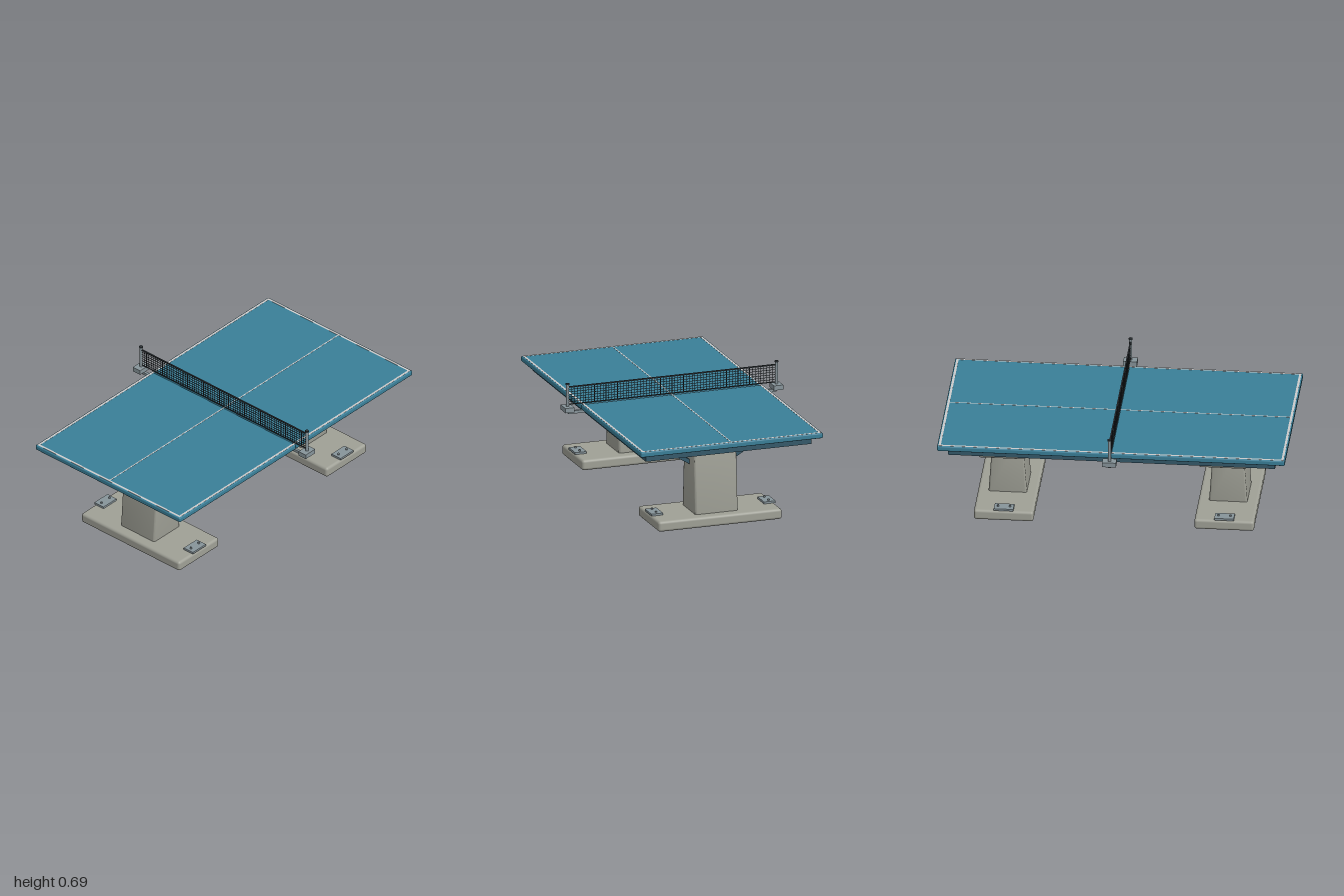
import * as THREE from 'three';
import { RoundedBoxGeometry } from 'three/addons/geometries/RoundedBoxGeometry.js';
import { mergeGeometries, toCreasedNormals } from 'three/addons/utils/BufferGeometryUtils.js';

const paint = (color) => new THREE.MeshStandardMaterial({ color });
const TEAL = paint(0x3a7f98), STEEL_BLUE = paint(0x35596a), DARK = paint(0x24404d);
const STONE = paint(0x9fa096), METAL = paint(0x87949a), BLACK = paint(0x30363a), WHITE = paint(0xdcdfdc);

function add(parent, name, geometry, material, x = 0, y = 0, z = 0) {
  const mesh = new THREE.Mesh(geometry, material);
  mesh.name = name;
  mesh.position.set(x, y, z);
  parent.add(mesh);
  return mesh;
}

const box = (w, h, d) => new THREE.BoxGeometry(w, h, d);
const rounded = (w, h, d, r) => new RoundedBoxGeometry(w, h, d, 3, r);
const boxAt = (w, h, d, x, y, z) => box(w, h, d).translate(x, y, z);

// Column that narrows in x towards the top
function taperedColumn(bottomW, topW, h, d) {
  const g = rounded(bottomW, h, d, 0.012);
  const p = g.attributes.position;
  for (let i = 0; i < p.count; i++) {
    const t = p.getY(i) / h + 0.5;
    p.setX(i, p.getX(i) * THREE.MathUtils.lerp(1, topW / bottomW, t));
  }
  return toCreasedNormals(g, 0.7);
}

function makeTop() {
  const top = new THREE.Group();
  top.name = 'tableTop';
  // Two playing halves meeting under the net
  for (const s of [-1, 1]) {
    add(top, 'playingHalf', rounded(0.999, 0.032, 1.11, 0.008), TEAL, s * 0.5005, 0.541, 0);
  }
  // Painted edge and centre lines
  const y = 0.5572, h = 0.0012, w = 0.013;
  const lines = [boxAt(1.976, h, 0.007, 0, y, 0)];
  for (const s of [-1, 1]) {
    lines.push(boxAt(1.984, h, w, 0, y, s * 0.5405));
    lines.push(boxAt(w, h, 1.068, s * 0.9855, y, 0));
  }
  add(top, 'courtLines', mergeGeometries(lines), WHITE);

  // Apron frame below the top
  for (const s of [-1, 1]) {
    add(top, 'longApronRail', box(1.88, 0.046, 0.045), STEEL_BLUE, 0, 0.503, s * 0.4825);
    add(top, 'endApronRail', box(0.045, 0.046, 0.92), STEEL_BLUE, s * 0.9175, 0.503, 0);
  }
  return top;
}

function makePedestal(side) {
  const leg = new THREE.Group();
  leg.name = side > 0 ? 'leftPedestal' : 'rightPedestal';
  leg.position.x = side * 0.634;
  add(leg, 'foot', rounded(0.344, 0.062, 0.754, 0.016), STONE, 0, 0.034, 0);
  add(leg, 'column', taperedColumn(0.222, 0.166, 0.404, 0.26), STONE, 0, 0.254, 0);
  add(leg, 'supportPlate', rounded(0.266, 0.036, 0.912, 0.006), STONE, 0, 0.463, 0);
  // Spacer between the support plate and the top
  add(leg, 'spacer', box(0.2, 0.046, 0.8), DARK, 0, 0.503, 0);

  for (const s of [-1, 1]) {
    // Diagonal brace from column to support plate
    const from = new THREE.Vector2(0.115, 0.346), to = new THREE.Vector2(0.295, 0.454);
    const dir = to.clone().sub(from);
    const strut = add(leg, 'brace', box(0.026, 0.024, dir.length()), STEEL_BLUE,
      0, (from.y + to.y) / 2, s * (from.x + to.x) / 2);
    strut.rotation.x = -s * Math.atan2(dir.y, dir.x);

    // Anchor plate with two bolts
    add(leg, 'anchorPlate', box(0.112, 0.012, 0.07), METAL, 0, 0.0735, s * 0.343);
    for (const b of [-1, 1]) {
      add(leg, 'anchorBolt', new THREE.CylinderGeometry(0.006, 0.006, 0.012, 10), METAL,
        b * 0.034, 0.083, s * 0.343);
    }
  }
  return leg;
}

function makeNet() {
  const net = new THREE.Group();
  net.name = 'net';
  const half = 0.63, low = 0.565, high = 0.668;
  // Woven mesh of thin strands
  const strands = [];
  const cols = 72, rows = 7;
  for (let i = 0; i <= cols; i++) {
    strands.push(boxAt(0.0025, high - low, 0.0025, 0, (low + high) / 2, -half + (2 * half * i) / cols));
  }
  for (let j = 1; j < rows; j++) {
    strands.push(boxAt(0.0025, 0.0025, 2 * half, 0, low + ((high - low) * j) / rows, 0));
  }
  add(net, 'netMesh', mergeGeometries(strands), BLACK);
  add(net, 'topTape', box(0.008, 0.007, 2 * half), BLACK, 0, high, 0);
  add(net, 'bottomCord', box(0.005, 0.005, 2 * half), BLACK, 0, low, 0);

  for (const s of [-1, 1]) {
    add(net, 'post', new THREE.CylinderGeometry(0.009, 0.009, 0.16, 16), METAL, 0, 0.605, s * 0.637);
    add(net, 'postCap', new THREE.CylinderGeometry(0.011, 0.011, 0.008, 16), BLACK, 0, 0.687, s * 0.637);
    add(net, 'clampBlock', box(0.08, 0.028, 0.056), METAL, 0, 0.54, s * 0.636);
    add(net, 'clampArm', box(0.016, 0.017, 0.11), METAL, 0, 0.5165, s * 0.58);
  }
  return net;
}

export function createModel() {
  const table = new THREE.Group();
  table.name = 'tableTennisTable';
  table.add(makeTop(), makePedestal(1), makePedestal(-1), makeNet());
  // Beam tying the two pedestals together
  add(table, 'stretcherBeam', box(1.1, 0.056, 0.06), STEEL_BLUE, 0, 0.268, 0);
  return table;
}
